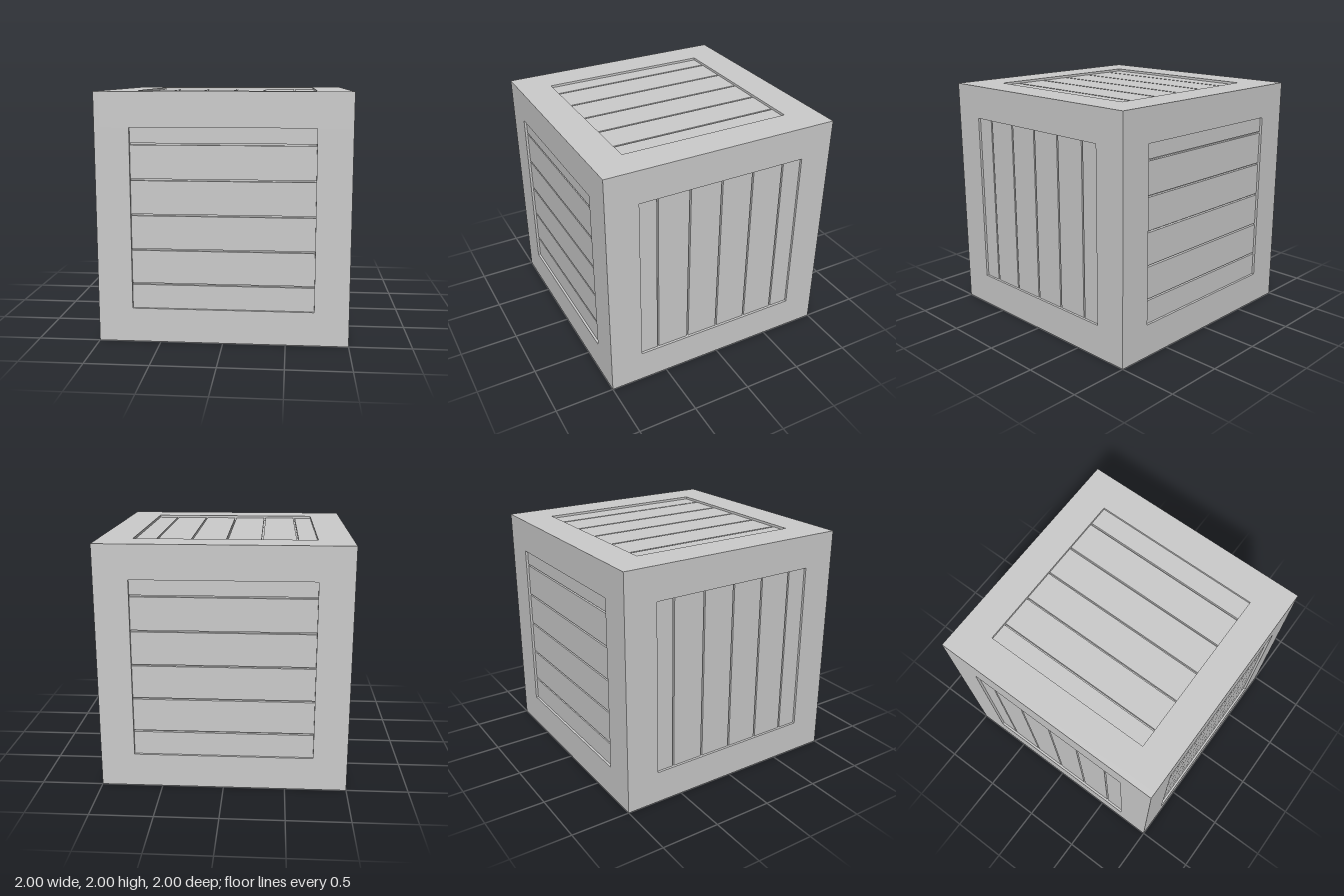
import * as THREE from 'three';

const T = 0.045;      // frame board thickness
const RECESS = 0.02;  // slats sit this far below the frame
const GAP = 0.014;    // groove between slats
const mat = new THREE.MeshStandardMaterial({ color: 0xcccccc, flatShading: true });

// Box given by its lower and upper corners
function board(parent, name, x0, x1, y0, y1, z0, z1) {
  const mesh = new THREE.Mesh(new THREE.BoxGeometry(x1 - x0, y1 - y0, z1 - z0), mat);
  mesh.position.set((x0 + x1) / 2, (y0 + y1) / 2, (z0 + z1) / 2);
  mesh.name = name;
  parent.add(mesh);
}

// Framed panel facing +z with its outer face at z = 1.
// x0..x1 and +-yEnd: outer limits; open: half opening; fullStiles: posts run past the rails
function panel(name, { x0, x1, yEnd, open, fullStiles, vertical, shift, pitch = 0.28 }) {
  const g = new THREE.Group();
  g.name = name;
  const zBack = 1 - T;
  const railX0 = fullStiles ? -open : x0, railX1 = fullStiles ? open : x1;
  const stileY = fullStiles ? yEnd : open;
  board(g, 'topRail', railX0, railX1, open, yEnd, zBack, 1);
  board(g, 'bottomRail', railX0, railX1, -yEnd, -open, zBack, 1);
  board(g, 'leftStile', x0, -open, -stileY, stileY, zBack, 1);
  board(g, 'rightStile', open, x1, -stileY, stileY, zBack, 1);

  // Six slats separated by five grooves
  const cuts = [-open - GAP / 2];
  for (let i = -2; i <= 2; i++) cuts.push(shift + i * pitch);
  cuts.push(open + GAP / 2);
  for (let i = 0; i < cuts.length - 1; i++) {
    const a = cuts[i] + GAP / 2, b = cuts[i + 1] - GAP / 2;
    if (vertical) board(g, 'slat', a, b, -open, open, zBack, 1 - RECESS);
    else board(g, 'slat', -open, open, a, b, zBack, 1 - RECESS);
  }
  return g;
}

export function createModel() {
  const crate = new THREE.Group();
  crate.name = 'crate';
  const body = new THREE.Group();
  body.name = 'body';
  body.position.y = 1;
  crate.add(body);
  const inner = 1 - T;

  // Solid core forms the floor of every groove
  board(body, 'core', -inner, inner, -inner, inner, -inner, inner);

  // Four walls overlap at the corners like a pinwheel
  for (let i = 0; i < 4; i++) {
    const side = i % 2 === 1;
    const wall = panel(['frontWall', 'leftWall', 'backWall', 'rightWall'][i], {
      x0: -inner, x1: 1, yEnd: 1, open: 0.725,
      fullStiles: side, vertical: side, shift: side ? -0.005 : 0.035,
    });
    wall.rotation.y = i * Math.PI / 2;
    body.add(wall);
  }

  // Lid and base fit between the walls
  const flat = { x0: -inner, x1: inner, yEnd: inner, open: 0.725, vertical: true, shift: -0.01 };
  const lid = panel('lid', flat);
  lid.rotation.x = -Math.PI / 2;
  const base = panel('base', flat);
  base.rotation.x = Math.PI / 2;
  body.add(lid, base);

  // Smaller framed panels nested in the middle of the base
  for (let h = 0.51; h > 0.1; h *= 0.51) {
    base.add(panel('nestedPanel', {
      x0: -h, x1: h, yEnd: h, open: 0.725 * h, vertical: true, shift: -0.01 * h, pitch: 0.28 * h,
    }));
  }
  return crate;
}
